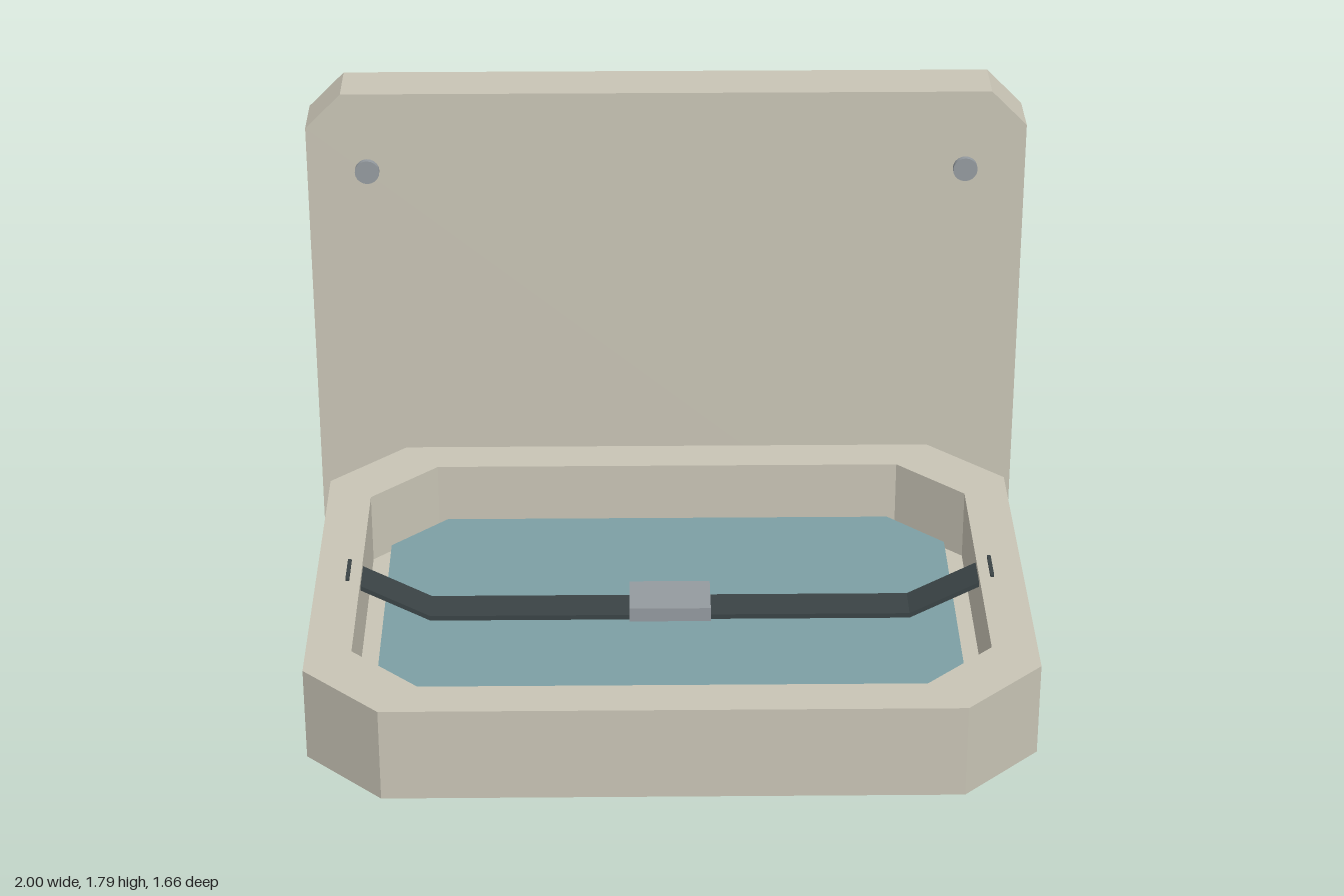
import * as THREE from 'three';

const mat = (color) => new THREE.MeshStandardMaterial({ color });

// Rectangle with cut corners; top and bottom cuts may differ
function cutRect(hx, hy, top, bottom = top, Type = THREE.Shape) {
  return new Type([
    [-hx + bottom, -hy], [hx - bottom, -hy], [hx, -hy + bottom], [hx, hy - top],
    [hx - top, hy], [-hx + top, hy], [-hx, hy - top], [-hx, -hy + bottom],
  ].map(([x, y]) => new THREE.Vector2(x, y)));
}

const extrude = (shape, depth) =>
  new THREE.ExtrudeGeometry(shape, { depth, bevelEnabled: false });

// Extrusion lying flat, growing upwards from y = 0
const slab = (shape, height) => extrude(shape, height).rotateX(-Math.PI / 2);

export function createModel() {
  const model = new THREE.Group();
  const shell = mat(0xc8c4b5), metal = mat(0x949a9f);
  const glass = mat(0x7c9fa4), webbing = mat(0x3a4345);

  const add = (name, geometry, material, x = 0, y = 0, z = 0) => {
    const mesh = new THREE.Mesh(geometry, material);
    mesh.name = name;
    mesh.position.set(x, y, z);
    model.add(mesh);
    return mesh;
  };

  // Upright back plate with its four bolts
  add('backPlate', extrude(cutRect(1, 0.897, 0.1, 0.065), 0.165), shell, 0, 0.897, -0.833);
  for (const x of [-0.833, 0.833]) {
    for (const y of [0.235, 1.567]) {
      add('bolt', new THREE.CylinderGeometry(0.034, 0.034, 0.03, 20).rotateX(Math.PI / 2),
        metal, x, y, -0.667);
    }
  }

  // Folding tray: floor, hollow rim and inset pad
  const trayZ = 0.102, trayY = 0.46, floor = 0.06;
  const outline = cutRect(0.955, 0.728, 0.205);
  add('trayFloor', slab(outline, floor), shell, 0, trayY, trayZ);
  const rim = cutRect(0.955, 0.728, 0.205);
  rim.holes.push(cutRect(0.835, 0.605, 0.18, 0.18, THREE.Path));
  add('trayRim', slab(rim, 0.26 - floor), shell, 0, trayY + floor, trayZ);
  add('trayPad', slab(cutRect(0.78, 0.55, 0.152), 0.06), glass, 0, trayY + floor, trayZ);

  // Strap sloping down from both ends, with its buckle and slot tabs
  const path = [[-0.835, 0.69], [-0.65, 0.595], [0.65, 0.595], [0.835, 0.69]];
  const thick = 0.014;
  const strap = new THREE.Shape([
    ...path.map(([x, y]) => new THREE.Vector2(x, y)),
    ...path.map(([x, y]) => new THREE.Vector2(x, y + thick)).reverse(),
  ]);
  add('strap', extrude(strap, 0.11), webbing, 0, 0, 0.045);
  add('buckle', new THREE.BoxGeometry(0.22, 0.04, 0.15), metal, 0, 0.62, 0.1);
  for (const side of [-1, 1]) {
    add('strapSlot', new THREE.BoxGeometry(0.01, 0.02, 0.11), webbing, side * 0.87, 0.717, 0.1);
  }

  // Hinge barrel across the back of the tray
  add('hinge', new THREE.CylinderGeometry(0.096, 0.096, 1.83, 32).rotateZ(Math.PI / 2),
    metal, 0, 0.525, -0.63);

  // Slanted support rods
  const top = new THREE.Vector3(0, 0.472, 0.418), foot = new THREE.Vector3(0, 0.094, -0.72);
  const span = top.clone().sub(foot);
  const mid = top.clone().add(foot).multiplyScalar(0.5);
  for (const side of [-1, 1]) {
    const rod = add('supportRod', new THREE.CylinderGeometry(0.034, 0.034, span.length(), 20),
      metal, side * 0.73, mid.y, mid.z);
    rod.quaternion.setFromUnitVectors(new THREE.Vector3(0, 1, 0), span.clone().normalize());
  }
  return model;
}
